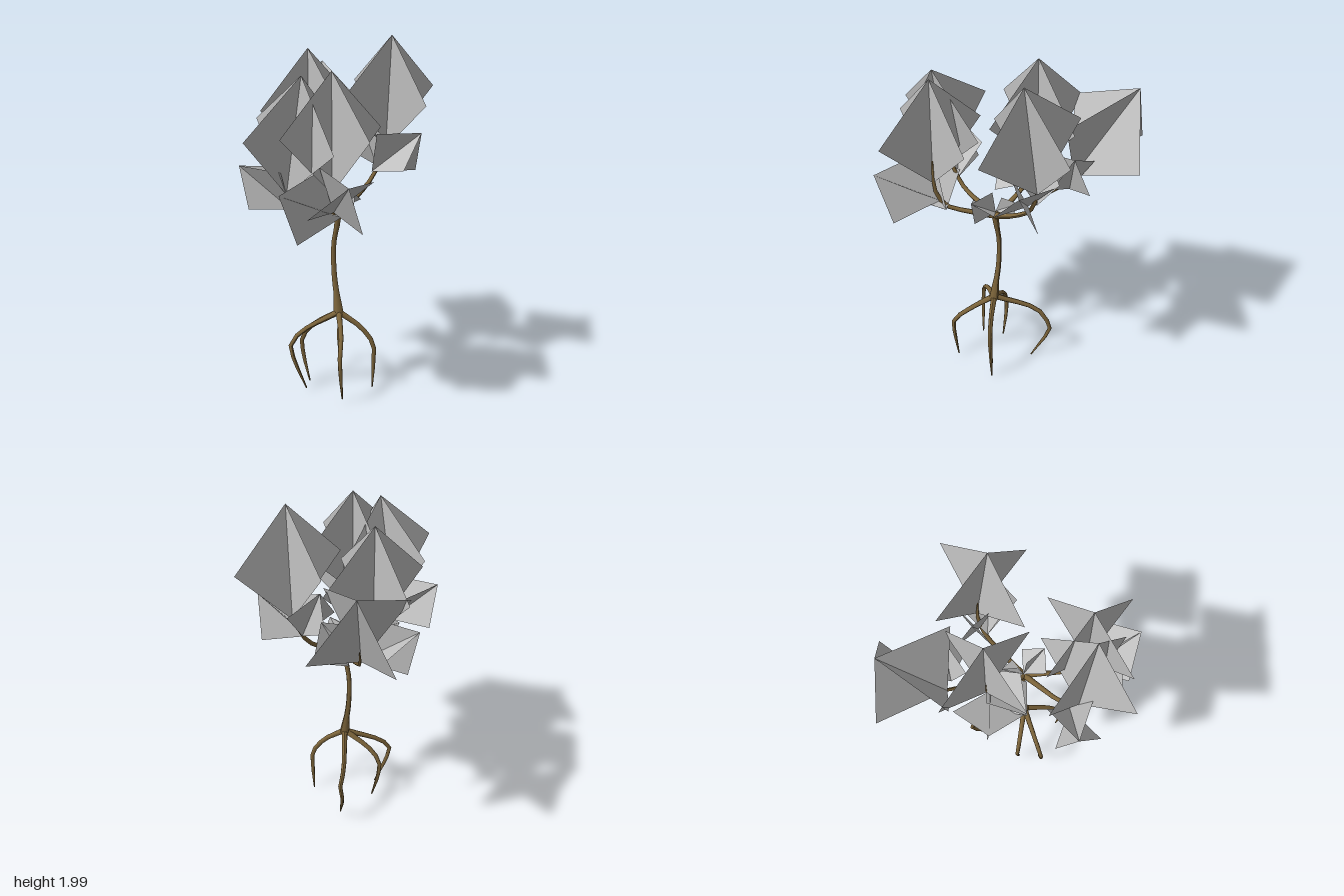
import * as THREE from 'three';

const bark = new THREE.MeshStandardMaterial({ color: 0x7d653b, side: THREE.DoubleSide });
bark.name = 'bark brown';
const foliage = new THREE.MeshStandardMaterial({ color: 0xc0c0c0, side: THREE.DoubleSide });
foliage.name = 'foliage grey';

const vec = (p) => new THREE.Vector3(...p);

// Tapered limb: a tube whose rings are scaled about the path, radii spread evenly along it
function limb(name, points, radii, segments = 9) {
  const curve = new THREE.CatmullRomCurve3(points.map(vec), false, 'centripetal');
  const sides = 7;
  const geo = new THREE.TubeGeometry(curve, segments, 1, sides);
  const pos = geo.attributes.position;
  const p = new THREE.Vector3();
  for (let i = 0; i < pos.count; i++) {
    const t = Math.floor(i / (sides + 1)) / segments;
    const f = t * (radii.length - 1);
    const k = Math.min(Math.floor(f), radii.length - 2);
    const r = THREE.MathUtils.lerp(radii[k], radii[k + 1], f - k);
    const c = curve.getPointAt(t);
    p.fromBufferAttribute(pos, i).sub(c).multiplyScalar(r).add(c);
    pos.setXYZ(i, p.x, p.y, p.z);
  }
  geo.computeVertexNormals();
  const mesh = new THREE.Mesh(geo, bark);
  mesh.name = name;
  return mesh;
}

// Two square cards crossing at right angles along their shared diagonal
function leafCluster(top, base, side) {
  const t = vec(top), b = vec(base);
  const centre = t.clone().add(b).multiplyScalar(0.5);
  const half = t.distanceTo(b) / 2;
  const axis = t.clone().sub(b).normalize();
  const s1 = vec(side).addScaledVector(axis, -vec(side).dot(axis)).setLength(half);
  const s2 = axis.clone().cross(s1);
  const group = new THREE.Group();
  group.name = 'leafCluster';
  for (const s of [s1, s2]) {
    const corners = [b, centre.clone().add(s), t, centre.clone().sub(s)];
    const geo = new THREE.BufferGeometry().setFromPoints(corners);
    geo.setIndex([0, 1, 2, 0, 2, 3]);
    geo.computeVertexNormals();
    const card = new THREE.Mesh(geo, foliage);
    card.name = 'leafCard';
    group.add(card);
  }
  return group;
}

export function createModel() {
  const model = new THREE.Group();
  model.name = 'stiltRootTree';

  // Trunk, flared where the roots join
  model.add(limb('trunk',
    [[0.01, 0.45, 0.148], [0.008, 0.54, 0.135], [0.005, 0.68, 0.11],
      [0.005, 0.86, 0.105], [0.012, 0.97, 0.125], [0.013, 1.05, 0.135]],
    [0.03, 0.017, 0.015, 0.014, 0.014, 0.02], 14));

  // Stilt roots: shoulder, knee and tip
  const crown = [0.01, 0.465, 0.147];
  const roots = [
    [[-0.07, 0.37, 0.28], [-0.125, 0.28, 0.345], [-0.12, 0.18, 0.345], [-0.1, 0.03, 0.335]],
    [[0.1, 0.38, 0.235], [0.155, 0.28, 0.28], [0.16, 0.18, 0.28], [0.157, 0.01, 0.273]],
    [[-0.2, 0.355, 0.06], [-0.25, 0.285, 0.045], [-0.235, 0.2, 0.06], [-0.18, 0.03, 0.1]],
    [[-0.085, 0.365, 0.02], [-0.12, 0.28, -0.03], [-0.115, 0.19, -0.03], [-0.095, 0.02, 0.01]],
    [[0.155, 0.36, -0.06], [0.205, 0.28, -0.1], [0.205, 0.21, -0.12], [0.155, 0.02, -0.02]],
  ];
  for (const path of roots) {
    model.add(limb('root', [crown, ...path], [0.018, 0.014, 0.013, 0.011, 0.004]));
  }

  // Branches fanning out from the fork
  const fork = [0.013, 1.04, 0.135];
  const branches = [
    [[0.15, 1.11, 0.118], [0.28, 1.21, 0.1], [0.34, 1.33, 0.1], [0.35, 1.5, 0.11]],
    [[0.08, 1.1, -0.02], [0.16, 1.18, -0.2], [0.2, 1.24, -0.3], [0.23, 1.34, -0.34]],
    [[0.013, 1.1, 0.02], [0.01, 1.19, -0.1], [0.01, 1.26, -0.135], [0.01, 1.42, -0.15]],
    [[-0.12, 1.06, 0.147], [-0.25, 1.09, 0.16], [-0.335, 1.2, 0.18], [-0.345, 1.42, 0.22]],
    [[-0.08, 1.06, 0.24], [-0.165, 1.09, 0.335], [-0.2, 1.18, 0.38], [-0.205, 1.38, 0.39]],
  ];
  for (const path of branches) {
    model.add(limb('branch', [fork, ...path], [0.018, 0.014, 0.012, 0.01, 0.004]));
  }

  // Leaf clusters: top corner, base corner, direction of one side corner
  const clusters = [
    // large crowns at the branch ends
    [[0.335, 2.0, 0.18], [0.36, 1.363, 0.11], [1, 0, 0]],
    [[0.01, 1.92, -0.155], [0.015, 1.285, -0.15], [1, 0, 0]],
    [[-0.212, 1.87, 0.382], [-0.212, 1.235, 0.387], [1, 0, 0]],
    [[-0.335, 1.845, 0.29], [-0.36, 1.21, 0.185], [0.63, 0, -0.055]],
    [[0.38, 1.785, -0.54], [0.18, 1.235, -0.28], [0.3, -0.1, 0.02]],
    // right branches
    [[0.46, 1.465, 0.3], [0.27, 1.235, 0.1], [-0.085, -0.09, 0.145]],
    [[0.34, 1.465, -0.15], [0.22, 1.19, -0.22], [0, 0.027, -0.17]],
    [[0.26, 1.545, -0.015], [0.32, 1.26, 0.08], [0.34, -0.08, 0.04]],
    // back branch
    [[-0.18, 1.31, -0.31], [0.06, 1.1, -0.09], [0.28, 0, -0.23]],
    [[0.12, 1.25, -0.045], [-0.22, 1.24, -0.07], [0, 0.5, -0.8]],
    // left branches
    [[-0.535, 1.355, 0], [-0.32, 1.12, 0.16], [-0.135, -0.1, 0.08]],
    [[-0.325, 1.34, 0.685], [-0.185, 1.125, 0.365], [0.2, 0.075, 0.02]],
    [[-0.515, 1.26, 0.35], [-0.13, 1.09, 0.36], [0.3, 0.9, 0]],
    // small sprigs at the fork
    [[0.01, 1.18, 0.29], [0.013, 1.06, 0.13], [1, 0, 0]],
    [[0.1, 1.13, 0.04], [0.013, 1.07, 0.13], [0.6, 0, 0.6]],
  ];
  for (const c of clusters) model.add(leafCluster(...c));

  return model;
}
